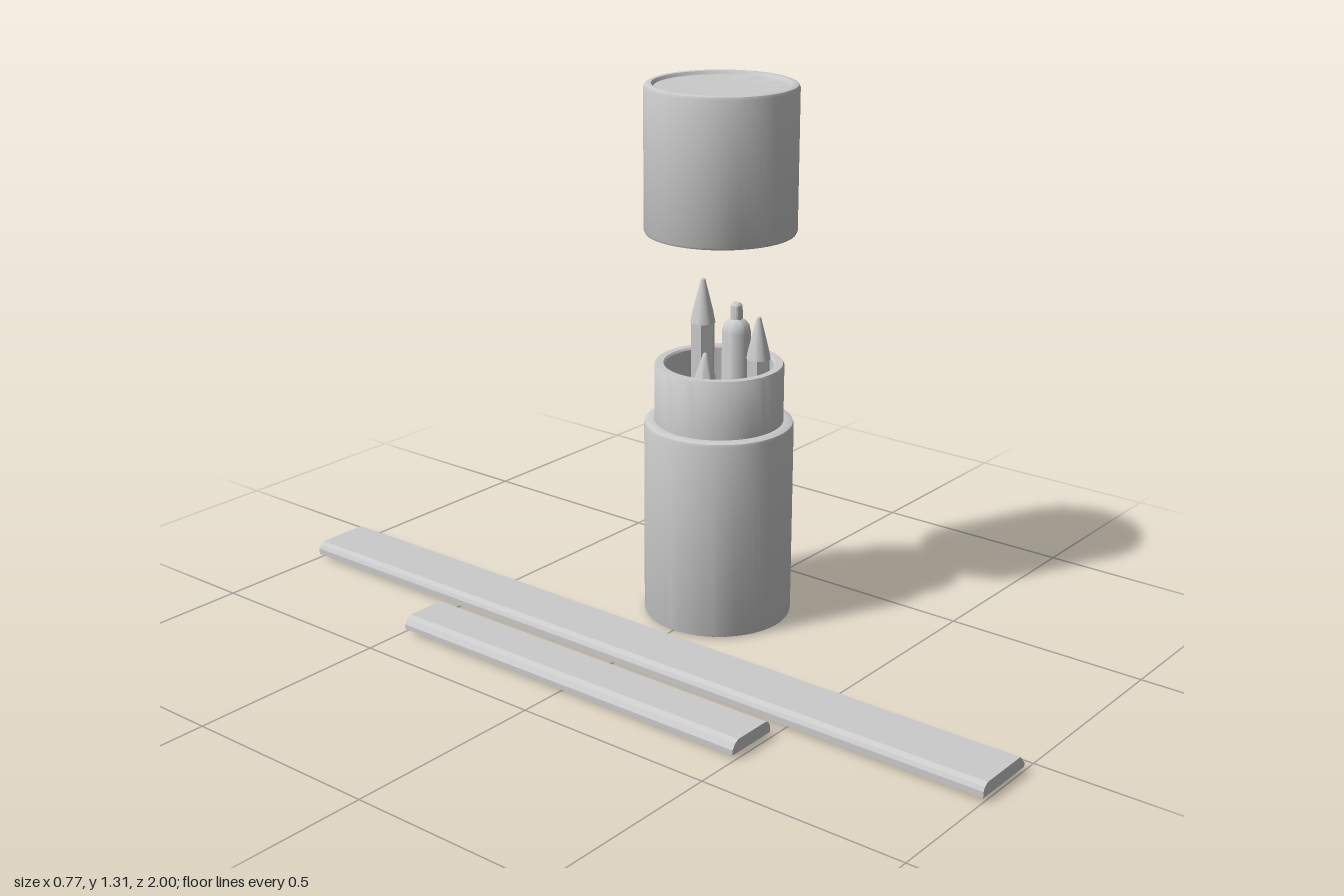
import * as THREE from 'three';
import { toCreasedNormals } from 'three/addons/utils/BufferGeometryUtils.js';

const CENTER_X = 0.203;

function makeMesh(name, geometry, parent) {
  const mat = new THREE.MeshStandardMaterial({ color: 0xcccccc, side: THREE.DoubleSide });
  const mesh = new THREE.Mesh(geometry, mat);
  mesh.name = name;
  parent.add(mesh);
  return mesh;
}

// Turned part from [radius, height] pairs, running bottom to top on the outside
function turned(points, segments = 64, crease = 0.6) {
  const profile = points.map(([r, y]) => new THREE.Vector2(r, y));
  return toCreasedNormals(new THREE.LatheGeometry(profile, segments), crease);
}

// Flat strip with bevelled long edges, extruded along z
function strip(points, length) {
  const shape = new THREE.Shape(points.map(([x, y]) => new THREE.Vector2(x, y)));
  const geo = new THREE.ExtrudeGeometry(shape, { depth: length, bevelEnabled: false });
  geo.translate(0, 0, -length / 2);
  return toCreasedNormals(geo, 0.3);
}

// Hexagonal pencil with a tapered point
function addPencil(parent, name, x, z, radius, shoulder, tip) {
  const pencil = new THREE.Group();
  pencil.name = name;
  const base = 0.03;
  const shaft = new THREE.CylinderGeometry(radius, radius, shoulder - base, 6);
  shaft.translate(0, (shoulder + base) / 2, 0);
  makeMesh('pencilShaft', toCreasedNormals(shaft, 0.3), pencil);
  const h = tip - shoulder;
  makeMesh('pencilPoint', turned([
    [radius, shoulder], [radius * 0.82, shoulder + h * 0.25],
    [radius * 0.32, shoulder + h * 0.8], [radius * 0.18, tip - 0.004], [0, tip],
  ], 24), pencil);
  pencil.position.set(x, 0, z);
  parent.add(pencil);
}

export function createModel() {
  const model = new THREE.Group();
  model.name = 'pencilCaseSet';

  // Container: outer sleeve with a thinner hollow neck
  const container = new THREE.Group();
  container.name = 'container';
  container.position.x = CENTER_X;
  model.add(container);
  makeMesh('containerBody', turned([
    [0, 0], [0.172, 0], [0.178, 0.003], [0.18, 0.01],
    [0.18, 0.487], [0.178, 0.493], [0.172, 0.496], [0.155, 0.496],
  ]), container);
  makeMesh('containerNeck', turned([
    [0.155, 0.49], [0.155, 0.634], [0.152, 0.639], [0.134, 0.639],
    [0.13, 0.634], [0.13, 0.03], [0, 0.03],
  ]), container);

  // Cap: hollow below, shallow recess in the top
  const cap = makeMesh('cap', turned([
    [0, 1.285], [0.157, 1.285], [0.157, 0.965], [0.161, 0.96], [0.177, 0.96],
    [0.18, 0.966], [0.18, 1.3], [0.177, 1.307], [0.17, 1.31],
    [0.162, 1.309], [0.157, 1.301], [0, 1.301],
  ]), model);
  cap.position.x = CENTER_X;

  // Pencils standing in the container
  addPencil(model, 'tallPencil', 0.202, -0.05, 0.03, 0.73, 0.84);
  addPencil(model, 'mediumPencil', 0.244, 0.085, 0.029, 0.655, 0.76);
  addPencil(model, 'shortPencil', 0.128, 0.015, 0.028, 0.61, 0.685);

  // Marker with a domed shoulder and a blunt nib
  const marker = makeMesh('marker', turned([
    [0, 0.03], [0.035, 0.03], [0.035, 0.7], [0.031, 0.717], [0.022, 0.728],
    [0.015, 0.732], [0.015, 0.75], [0.014, 0.766], [0.009, 0.772], [0, 0.772],
  ], 24), model);
  marker.position.set(0.269, 0, 0);

  // Rulers lying beside the container
  makeMesh('longRuler', strip([
    [-0.209, 0.01], [-0.041, 0.01], [-0.041, 0.02], [-0.06, 0.041],
    [-0.193, 0.041], [-0.204, 0.034], [-0.209, 0.025],
  ], 2), model);
  makeMesh('shortRuler', strip([
    [-0.388, 0.01], [-0.254, 0.01], [-0.254, 0.026], [-0.259, 0.035],
    [-0.268, 0.041], [-0.368, 0.041], [-0.38, 0.034], [-0.388, 0.022],
  ], 0.99), model);

  return model;
}
